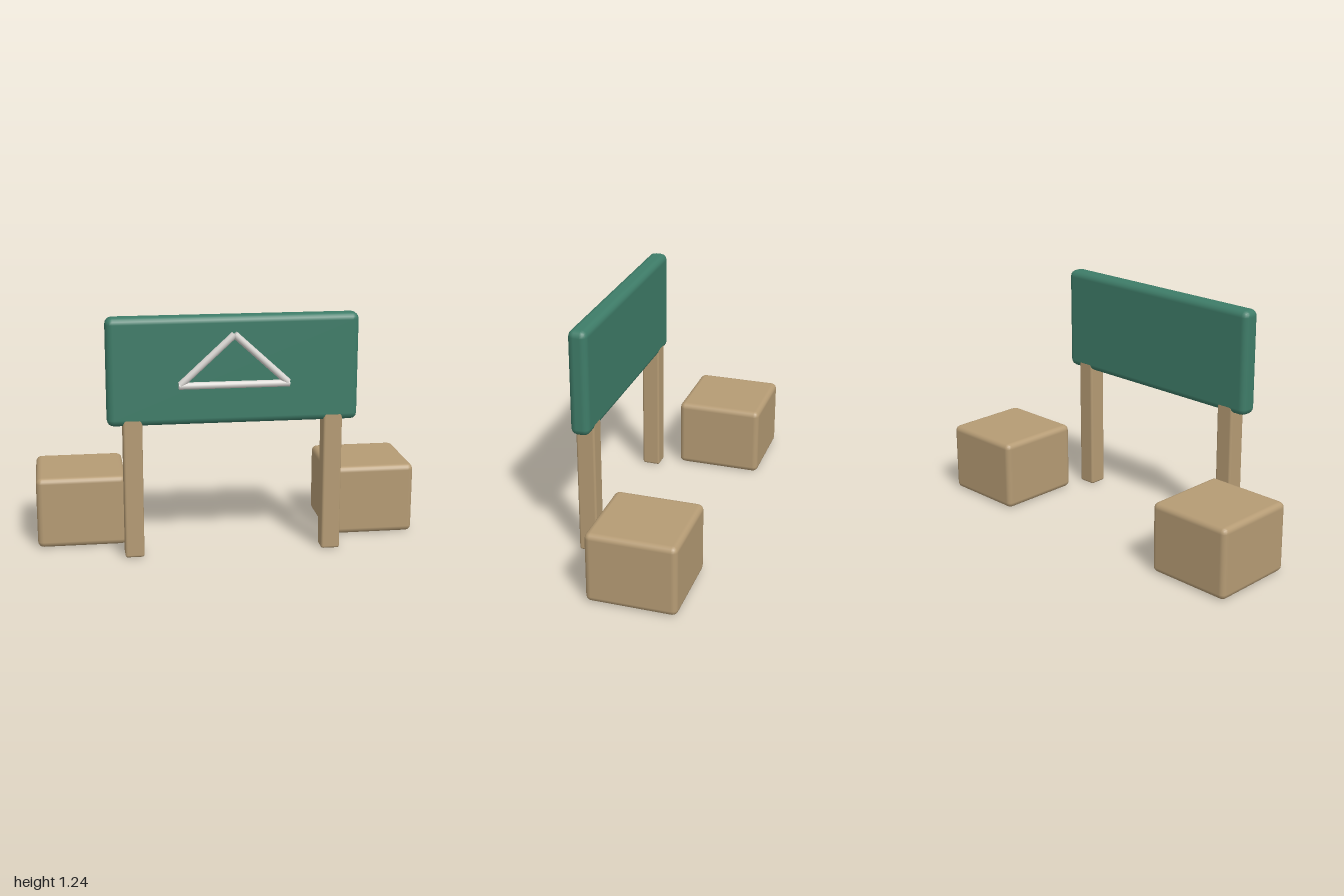
import * as THREE from 'three';
import { RoundedBoxGeometry } from 'three/addons/geometries/RoundedBoxGeometry.js';

export function createModel() {
  const model = new THREE.Group();
  model.name = 'signWithBlocks';

  const material = (name, color) => {
    const m = new THREE.MeshStandardMaterial({ color });
    m.name = name;
    return m;
  };
  const tan = material('tan wood', 0xb59b74);
  const green = material('board green', 0x3e7c68);
  const silver = material('light metal', 0xd8d5d1);

  // Softly bevelled box given by its lower and upper corners
  const block = (name, lo, hi, radius, mat) => {
    const size = hi.map((v, i) => v - lo[i]);
    const mesh = new THREE.Mesh(new RoundedBoxGeometry(...size, 2, radius), mat);
    mesh.position.set(...hi.map((v, i) => (v + lo[i]) / 2));
    mesh.name = name;
    model.add(mesh);
  };

  // Round bar between two points on the board's front
  const bar = (name, a, b) => {
    const from = new THREE.Vector3(...a), to = new THREE.Vector3(...b);
    const dir = to.clone().sub(from);
    const mesh = new THREE.Mesh(new THREE.CylinderGeometry(0.018, 0.018, dir.length(), 16), silver);
    mesh.position.copy(from).add(to).multiplyScalar(0.5);
    mesh.quaternion.setFromUnitVectors(new THREE.Vector3(0, 1, 0), dir.normalize());
    mesh.name = name;
    model.add(mesh);
  };

  // Sign board
  block('board', [-0.635, 0.69, 0.215], [0.635, 1.24, 0.315], 0.035, green);

  // Posts run up inside the board; blocks stand behind on both sides
  for (const [side, s] of [['left', 1], ['right', -1]]) {
    const pair = (x0, x1) => (s > 0 ? [x0, x1] : [-x1, -x0]);
    const [p0, p1] = pair(0.46, 0.557);
    block(side + 'Post', [p0, 0, 0.216], [p1, 1.1, 0.314], 0.012, tan);
    const [b0, b1] = pair(0.535, 1);
    block(side + 'Block', [b0, 0, -0.35], [b1, 0.375, 0.115], 0.03, tan);
    bar(side + 'TriangleBar', [s * 0.27, 0.902, 0.332], [0, 1.15, 0.332]);
  }

  // Base of the triangle
  bar('triangleBase', [-0.278, 0.897, 0.332], [0.278, 0.897, 0.332]);

  return model;
}
